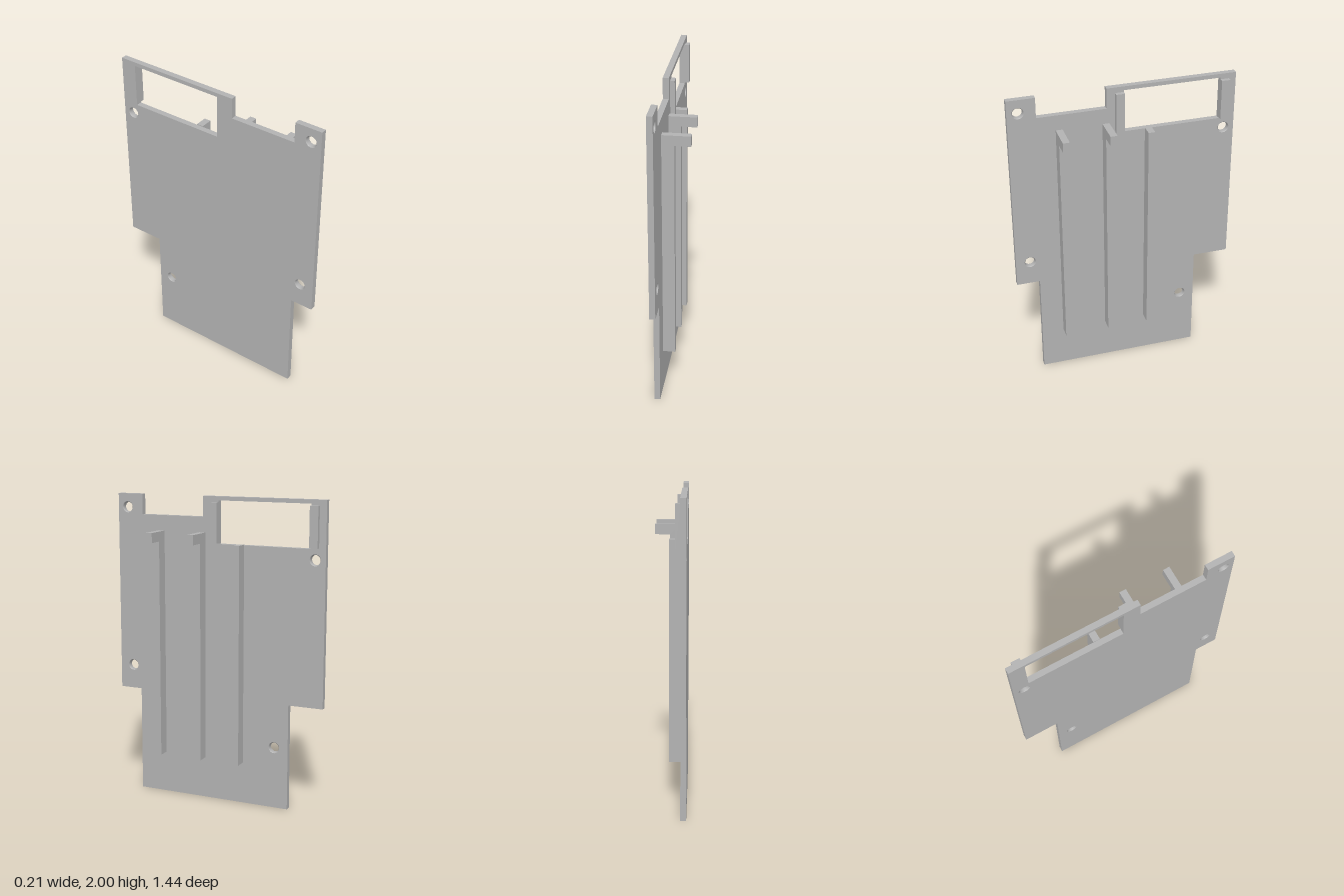
import * as THREE from 'three';

const BACK = -0.107, FACE = -0.07;
const HOLE_R = 0.037, BORE_R = 0.032;

// Closed shape or path from corner points
function outline(points, Type = THREE.Shape) {
  const s = new Type();
  points.forEach(([a, b], i) => (i ? s.lineTo(a, b) : s.moveTo(a, b)));
  s.closePath();
  return s;
}

export function createModel() {
  const group = new THREE.Group();
  const grey = new THREE.MeshStandardMaterial({ color: 0xb2b2b2 });
  grey.name = 'plain grey';

  function add(name, geometry) {
    const mesh = new THREE.Mesh(geometry, grey);
    mesh.name = name;
    group.add(mesh);
    return mesh;
  }

  // Stepped plate, drawn as (-z, y) and turned to face +x
  const plate = outline([
    [-0.57, 0], [0.49, 0], [0.49, 0.697], [0.72, 0.697], [0.72, 2],
    [-0.108, 2], [-0.108, 1.868], [-0.543, 1.868], [-0.543, 2],
    [-0.72, 2], [-0.72, 0.697], [-0.57, 0.697],
  ]);
  plate.holes.push(outline([[0, 1.7], [0, 1.975], [0.62, 1.975], [0.62, 1.7]], THREE.Path));

  // Screw holes as [z, y]
  const screwHoles = [[0.652, 1.913], [-0.652, 1.632], [0.627, 0.856], [-0.395, 0.405]];
  for (const [z, y] of screwHoles) {
    const hole = new THREE.Path();
    hole.absarc(-z, y, HOLE_R, 0, Math.PI * 2, true);
    plate.holes.push(hole);
  }
  const plateGeometry = new THREE.ExtrudeGeometry(plate, {
    depth: FACE - BACK, bevelEnabled: false, curveSegments: 16,
  });
  plateGeometry.rotateY(Math.PI / 2).translate(BACK, 0, 0);
  add('plate', plateGeometry);

  // Chamfered lining that narrows each screw hole
  const t = (FACE - BACK) / 2;
  const lining = [[HOLE_R, -t], [BORE_R, -t + 0.006], [BORE_R, t - 0.006], [HOLE_R, t]]
    .map(([r, h]) => new THREE.Vector2(r, h)).reverse();
  for (const [z, y] of screwHoles) {
    const geometry = new THREE.LatheGeometry(lining, 32);
    geometry.rotateZ(Math.PI / 2).translate((BACK + FACE) / 2, y, z);
    add('screwHoleLining', geometry);
  }

  // Vertical ribs; two of them end in a forward hook
  const straight = [[FACE, 0.275], [0.007, 0.275], [0.007, 1.705], [FACE, 1.705]];
  const hooked = [
    [FACE, 0.275], [0.007, 0.275], [0.007, 1.705], [0.105, 1.705], [0.105, 1.769], [FACE, 1.769],
  ];
  const ribs = [['hookedRib', 0.384, hooked], ['hookedRib', 0.092, hooked], ['straightRib', -0.178, straight]];
  for (const [name, z, profile] of ribs) {
    const geometry = new THREE.ExtrudeGeometry(outline(profile), { depth: 0.043, bevelEnabled: false });
    add(name, geometry.translate(0, 0, z));
  }

  // Raised strips on both sides of the window
  for (const z of [0.0275, -0.6475]) {
    add('windowStrip', new THREE.BoxGeometry(0.028, 0.258, 0.055))
      .position.set(FACE + 0.014, 1.835, z);
  }

  return group;
}
